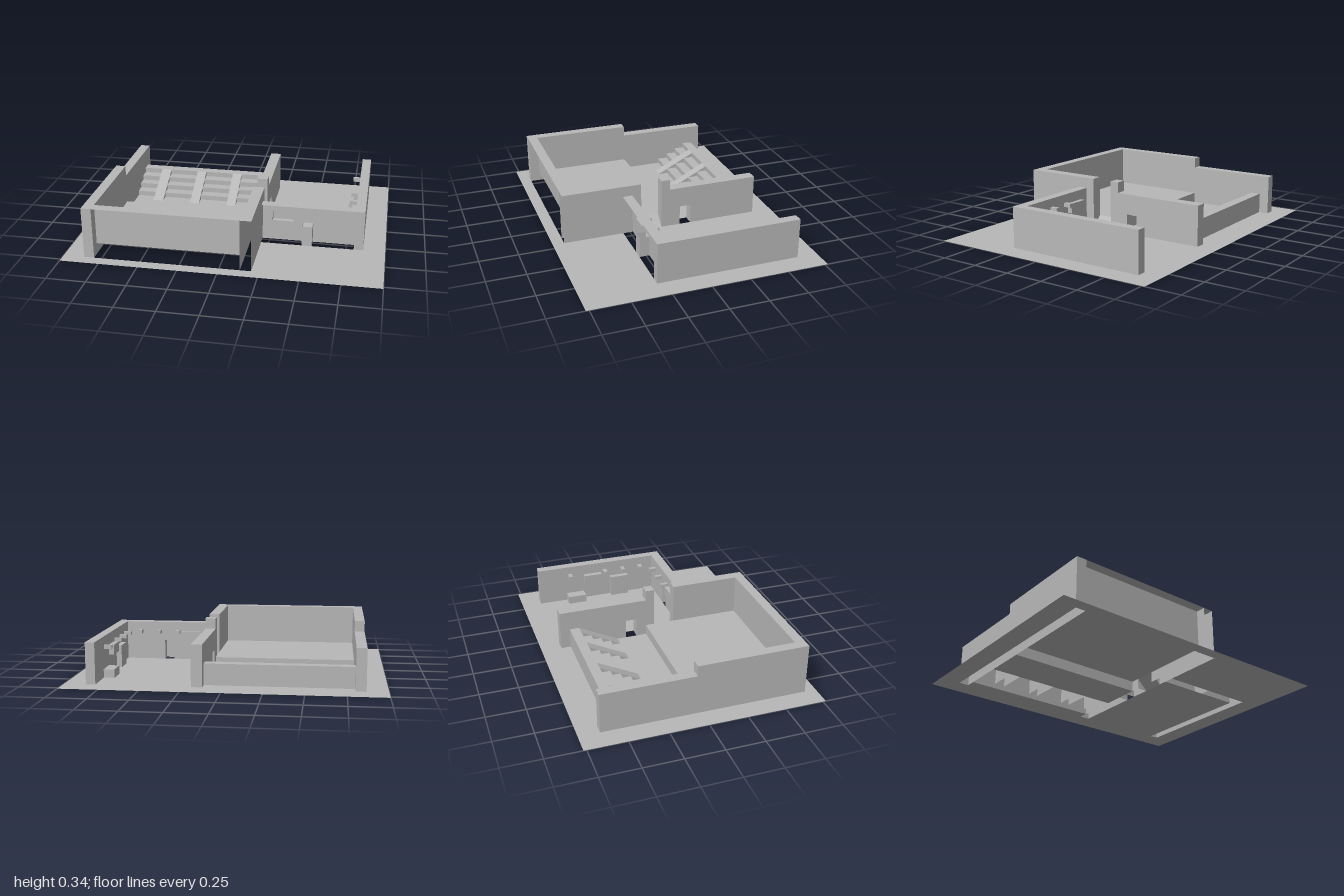
import * as THREE from 'three';

const plaster = new THREE.MeshStandardMaterial({ color: 0xb8b8b8, side: THREE.DoubleSide });
plaster.name = 'grey plaster';

// Main heights
const TALL = 0.335, LOW = 0.265, DECK = 0.07;

const rect = (u0, u1, v0, v1) => [[u0, v0], [u1, v0], [u1, v1], [u0, v1]];

export function createModel() {
  const model = new THREE.Group();
  model.name = 'buildingModel';

  const add = (parent, name, geometry) => {
    const mesh = new THREE.Mesh(geometry, plaster);
    mesh.name = name;
    parent.add(mesh);
    return mesh;
  };
  const group = (name) => {
    const g = new THREE.Group();
    g.name = name;
    model.add(g);
    return g;
  };

  // Flat sheet across one axis: x -> outline in (z, y), y -> (x, z), z -> (x, y)
  const sheet = (parent, name, axis, at, outline, holes = []) => {
    const toV = (pts) => pts.map(([u, v]) => new THREE.Vector2(u, v));
    const shape = new THREE.Shape(toV(outline));
    holes.forEach((h) => shape.holes.push(new THREE.Path(toV(h))));
    const geometry = new THREE.ShapeGeometry(shape);
    const p = geometry.attributes.position;
    for (let i = 0; i < p.count; i++) {
      const u = p.getX(i), v = p.getY(i);
      if (axis === 'x') p.setXYZ(i, at, v, u);
      else if (axis === 'y') p.setXYZ(i, u, at, v);
      else p.setXYZ(i, u, v, at);
    }
    // y sheets and x sheets come out mirrored, so turn them to face outwards
    if (axis !== 'z') geometry.index.array.reverse();
    geometry.computeVertexNormals();
    return add(parent, name, geometry);
  };

  // Box from min and max corners
  const block = (parent, name, x0, x1, y0, y1, z0, z1) => {
    add(parent, name, new THREE.BoxGeometry(x1 - x0, y1 - y0, z1 - z0))
      .position.set((x0 + x1) / 2, (y0 + y1) / 2, (z0 + z1) / 2);
  };

  // Ground slab, left open under the hollow walls, the deck and the seating
  const ground = group('ground');
  [
    [-1, 1, -0.77, -0.635], [-1, 1, 0.695, 0.77],
    [-1, -0.865, -0.635, 0.695], [0.86, 1, -0.635, 0.695],
    [-0.8, 0.13, -0.635, -0.57], [-0.8, 0.13, -0.305, -0.03],
    [0.2, 0.8, -0.635, 0.23], [0.2, 0.86, 0.295, 0.695],
  ].forEach((r) => sheet(ground, 'groundPanel', 'y', 0, rect(...r)));

  // Hall side wall, tall in front and lower behind
  const hall = group('hall');
  const stepped = (z1) => [[-0.635, 0], [z1, 0], [z1, TALL], [-0.03, TALL], [-0.03, LOW], [-0.635, LOW]];
  for (const x of [-0.865, -0.8]) sheet(hall, 'sideWall', 'x', x, stepped(0.695));
  sheet(hall, 'sideWallFrontEnd', 'z', 0.695, rect(-0.865, -0.8, 0, TALL));

  // Dividing wall with a full-height gap and a small doorway
  const doorway = [[-0.635, 0], [-0.175, 0], [-0.175, 0.13], [-0.1, 0.13], [-0.1, 0],
    [0.03, 0], [0.03, TALL], [-0.03, TALL], [-0.03, LOW], [-0.635, LOW]];
  for (const x of [0.13, 0.2]) {
    sheet(hall, 'dividingWallRear', 'x', x, doorway);
    sheet(hall, 'dividingWallFront', 'x', x, rect(0.17, 0.695, 0, TALL));
  }
  for (const z of [-0.175, -0.1]) sheet(hall, 'doorwayReveal', 'z', z, rect(0.13, 0.2, 0, 0.13));
  sheet(hall, 'doorwayLintel', 'y', 0.13, rect(0.13, 0.2, -0.175, -0.1));
  sheet(hall, 'gapRevealRear', 'z', 0.03, rect(0.13, 0.2, 0, TALL));
  sheet(hall, 'gapRevealFront', 'z', 0.17, [[0.13, DECK], [0.2, 0], [0.2, TALL], [0.13, TALL]]);

  // Rear ends and height steps of both hall walls
  for (const x of [-0.865, 0.13]) {
    const x1 = x + (x < 0 ? 0.065 : 0.07);
    sheet(hall, 'wallRearEnd', 'z', -0.635, rect(x, x1, 0, LOW));
    sheet(hall, 'wallHeightStep', 'z', -0.03, rect(x, x1, LOW, TALL));
    sheet(hall, 'lowWallTop', 'y', LOW, rect(x, x1, -0.635, -0.03));
  }
  [
    [-0.865, 0.2, 0.63, 0.695], [-0.865, -0.8, -0.03, 0.63],
    [0.13, 0.2, 0.17, 0.63], [0.13, 0.2, -0.03, 0.03],
  ].forEach((r) => sheet(hall, 'tallWallTop', 'y', TALL, rect(...r)));

  // Front wall and raised deck with its entrance ramp
  sheet(hall, 'frontWall', 'z', 0.63, rect(-0.8, 0.13, DECK, TALL));
  sheet(hall, 'deck', 'y', DECK, rect(-0.8, 0.13, -0.03, 0.63));
  sheet(hall, 'deckRiser', 'z', -0.03, rect(-0.8, 0.13, 0, DECK));
  const entrance = sheet(hall, 'entranceRamp', 'y', 0, rect(0.13, 0.2, 0.03, 0.17));
  const ep = entrance.geometry.attributes.position;
  for (let i = 0; i < ep.count; i++) ep.setY(i, ep.getX(i) < 0.15 ? DECK : 0);
  entrance.geometry.computeVertexNormals();

  // Seating tiers, split by sloping aisles
  const seating = group('seating');
  const rise = 0.034, top = 4 * rise;
  sheet(seating, 'seatingBack', 'z', -0.57, rect(-0.8, 0.13, 0, top));
  sheet(seating, 'topTier', 'y', top, rect(-0.8, 0.13, -0.57, -0.505));
  for (const [x0, x1] of [[-0.8, -0.67], [-0.6, -0.4], [-0.335, -0.135], [-0.07, 0.065]]) {
    for (let i = 0; i < 4; i++) {
      const y = top - i * rise, z = -0.505 + i * 0.0667;
      sheet(seating, 'tierRiser', 'z', z, rect(x0, x1, y - rise, y));
      if (i < 3) sheet(seating, 'tierTread', 'y', y - rise, rect(x0, x1, z, z + 0.0667));
    }
  }
  for (const [x0, x1] of [[-0.67, -0.6], [-0.4, -0.335], [-0.135, -0.07], [0.065, 0.13]]) {
    const aisle = sheet(seating, 'aisle', 'y', 0, rect(x0, x1, -0.505, -0.238));
    const p = aisle.geometry.attributes.position;
    for (let i = 0; i < p.count; i++) p.setY(i, p.getZ(i) < -0.4 ? top : 0);
    aisle.geometry.computeVertexNormals();
    for (const x of [x0, x1]) {
      sheet(seating, 'aisleSide', 'x', x, [[-0.505, 0], [-0.238, 0], [-0.505, top]]);
    }
  }

  // Courtyard walls
  const yard = group('courtyard');
  for (const x of [0.8, 0.86]) sheet(yard, 'courtyardSideWall', 'x', x, rect(-0.635, 0.295, 0, LOW));
  for (const z of [-0.635, 0.295]) sheet(yard, 'courtyardWallEnd', 'z', z, rect(0.8, 0.86, 0, LOW));
  sheet(yard, 'courtyardSideTop', 'y', LOW, rect(0.8, 0.86, -0.635, 0.295));
  sheet(yard, 'courtyardFrontTop', 'y', LOW, rect(0.2, 0.8, 0.23, 0.295));
  sheet(yard, 'courtyardFrontWall', 'z', 0.23,
    [[0.2, 0], [0.465, 0], [0.465, 0.135], [0.53, 0.135], [0.53, 0], [0.8, 0], [0.8, LOW], [0.2, LOW]],
    [rect(0.265, 0.4, 0.135, 0.2)]);

  // Door niche in the front wall
  sheet(yard, 'doorPanel', 'z', 0.295, rect(0.465, 0.53, 0, 0.135));
  for (const x of [0.465, 0.53]) sheet(yard, 'doorNicheSide', 'x', x, rect(0.23, 0.295, 0, 0.135));

  // Window bay, open to the outside
  sheet(yard, 'windowPane', 'z', 0.2, rect(0.265, 0.4, 0.135, 0.2));
  for (const x of [0.265, 0.4]) sheet(yard, 'windowBaySide', 'x', x, rect(0.2, 0.23, 0.135, 0.2));
  for (const y of [0.135, 0.2]) sheet(yard, 'windowBaySill', 'y', y, rect(0.265, 0.4, 0.2, 0.23));

  // Fittings on the side wall
  block(yard, 'sideWindow', 0.765, 0.8, 0.125, 0.19, -0.3, -0.17);
  block(yard, 'sideDoor', 0.765, 0.8, 0, 0.15, -0.1, 0.03);
  block(yard, 'bench', 0.73, 0.8, 0, 0.055, -0.435, -0.305);

  // Small wall lamps
  for (const z of [-0.405, -0.14, -0.005, 0.13]) {
    block(yard, 'sideLamp', 0.75, 0.8, 0.185, 0.21, z - 0.013, z + 0.013);
  }
  for (const x of [0.43, 0.565, 0.7]) {
    block(yard, 'frontLamp', x - 0.013, x + 0.013, 0.185, 0.21, 0.18, 0.23);
  }

  return model;
}
